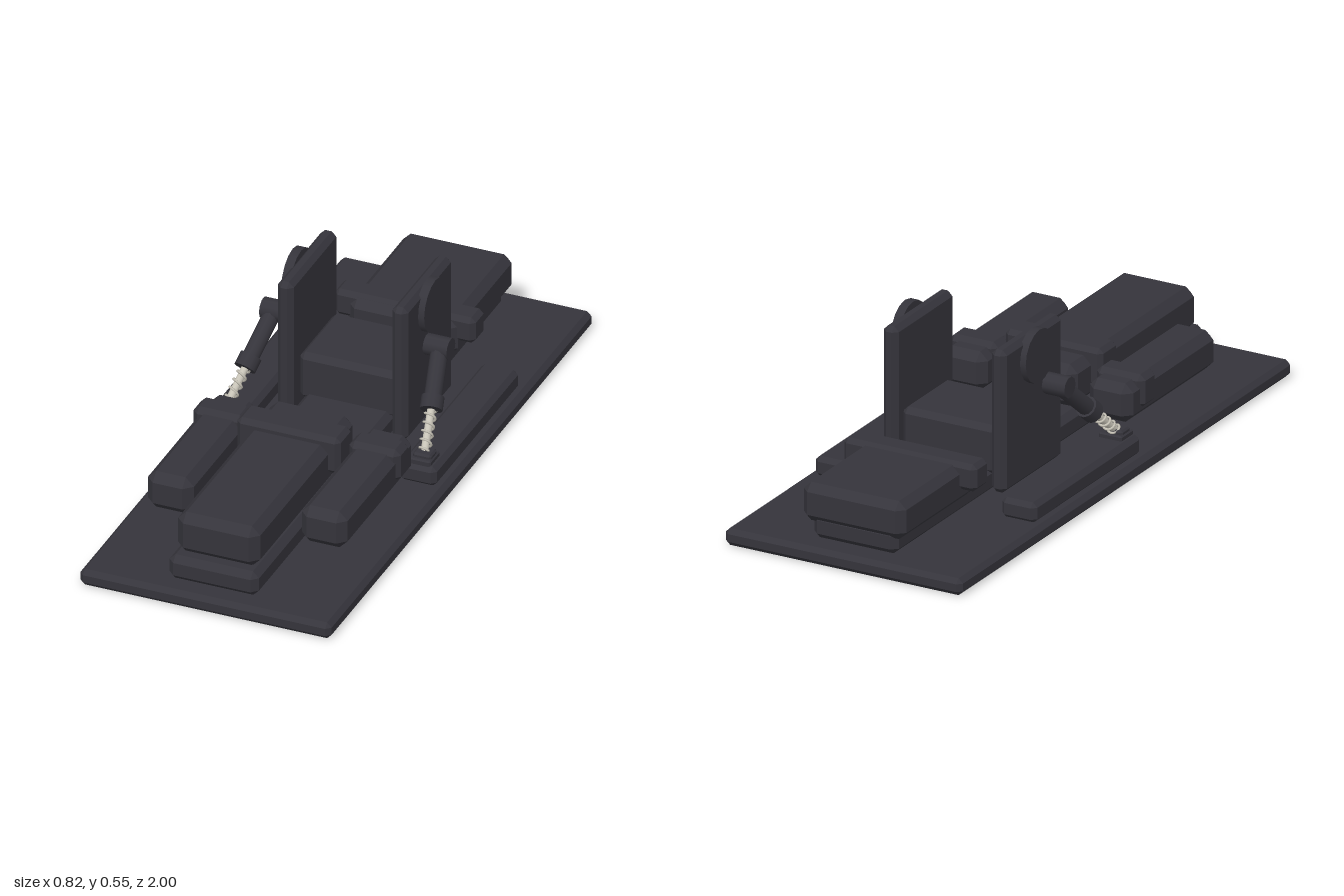
import * as THREE from 'three';
import { ConvexGeometry } from 'three/addons/geometries/ConvexGeometry.js';

const dark = new THREE.MeshStandardMaterial({ color: 0x35343b });
dark.name = 'dark grey';
const steel = new THREE.MeshStandardMaterial({ color: 0xc8c4b8 });
steel.name = 'pale steel';

// Box with chamfered edges, given by its limits on each axis
function chamferBox(name, [x0, x1], [y0, y1], [z0, z1], c) {
  const h = [(x1 - x0) / 2, (y1 - y0) / 2, (z1 - z0) / 2];
  const points = [];
  for (const sx of [-1, 1]) for (const sy of [-1, 1]) for (const sz of [-1, 1]) {
    for (let axis = 0; axis < 3; axis++) {
      const p = h.map((v, i) => (i === axis ? v : v - c));
      points.push(new THREE.Vector3(p[0] * sx, p[1] * sy, p[2] * sz));
    }
  }
  const mesh = new THREE.Mesh(new ConvexGeometry(points), dark);
  mesh.position.set((x0 + x1) / 2, (y0 + y1) / 2, (z0 + z1) / 2);
  mesh.name = name;
  return mesh;
}

// Cylinder running between two points
function rod(name, a, b, r0, r1, sides, material = dark) {
  const dir = b.clone().sub(a);
  const mesh = new THREE.Mesh(new THREE.CylinderGeometry(r1, r0, dir.length(), sides), material);
  mesh.position.copy(a).lerp(b, 0.5);
  mesh.quaternion.setFromUnitVectors(new THREE.Vector3(0, 1, 0), dir.normalize());
  mesh.name = name;
  return mesh;
}

// Coil spring around the line from a to b
function spring(a, b, radius, turns) {
  const dir = b.clone().sub(a);
  const length = dir.length();
  const points = [];
  for (let i = 0; i <= turns * 10; i++) {
    const t = i / (turns * 10), w = t * turns * Math.PI * 2;
    points.push(new THREE.Vector3(Math.cos(w) * radius, t * length, Math.sin(w) * radius));
  }
  const mesh = new THREE.Mesh(
    new THREE.TubeGeometry(new THREE.CatmullRomCurve3(points), turns * 14, 0.004, 5), steel);
  mesh.position.copy(a);
  mesh.quaternion.setFromUnitVectors(new THREE.Vector3(0, 1, 0), dir.normalize());
  mesh.name = 'spring';
  return mesh;
}

// Everything that stands on one side; s is +1 for left, -1 for right
function buildSide(s) {
  const side = new THREE.Group();
  side.name = s > 0 ? 'leftSide' : 'rightSide';
  const v = (x, y, z) => new THREE.Vector3(x * s, y, z);
  const box = (name, x, y, z, c) =>
    side.add(chamferBox(name, s > 0 ? x : [-x[1], -x[0]], y, z, c));

  box('sideRail', [0.262, 0.383], [0.05, 0.117], [-0.505, 0.138], 0.015);
  box('sidePad', [0.176, 0.326], [0.12, 0.245], [0.16, 0.695], 0.027);
  box('sideStrap', [0.17, 0.338], [0.15, 0.26], [0.222, 0.312], 0.018);
  box('uprightPlate', [0.161, 0.213], [0.072, 0.535], [-0.392, -0.038], 0.016);

  // Pivot disc and damper
  side.add(rod('pivotDisc', v(0.205, 0.465, -0.213), v(0.233, 0.465, -0.213), 0.086, 0.086, 16));
  side.add(rod('upperJoint', v(0.228, 0.358, -0.16), v(0.306, 0.358, -0.16), 0.034, 0.034, 10));
  const top = v(0.272, 0.352, -0.155), mid = v(0.304, 0.225, -0.015), low = v(0.325, 0.135, 0.085);
  const collar = top.clone().lerp(mid, 0.78);
  side.add(rod('damperBody', top, mid, 0.027, 0.027, 12));
  side.add(rod('damperCollar', collar, mid, 0.035, 0.035, 12));
  side.add(rod('damperRod', mid, low, 0.012, 0.012, 12, steel));
  side.add(spring(mid, low, 0.017, 5));

  // Lower mount
  box('lowerMount', [0.282, 0.362], [0.1, 0.132], [0.052, 0.126], 0.004);
  box('lowerKnob', [0.298, 0.358], [0.12, 0.145], [0.062, 0.114], 0.006);
  return side;
}

export function createModel() {
  const model = new THREE.Group();
  model.name = 'paddedPlatform';

  // Base and spine
  model.add(chamferBox('basePlate', [-0.41, 0.41], [0, 0.055], [-1, 1], 0.015));
  model.add(chamferBox('spine', [-0.146, 0.146], [0.052, 0.135], [-0.93, 0.942], 0.02));

  // Centre pads and straps
  model.add(chamferBox('frontPad', [-0.134, 0.134], [0.13, 0.268], [0.16, 0.912], 0.027));
  model.add(chamferBox('frontStrap', [-0.169, 0.169], [0.171, 0.295], [0.267, 0.37], 0.015));
  model.add(chamferBox('centreBlock', [-0.165, 0.165], [0.11, 0.27], [-0.362, -0.09], 0.018));
  model.add(chamferBox('rearPad', [-0.177, 0.177], [0.108, 0.232], [-0.945, -0.49], 0.025));
  model.add(chamferBox('rearStrap', [-0.23, 0.23], [0.155, 0.243], [-0.6, -0.512], 0.015));

  for (const s of [1, -1]) model.add(buildSide(s));
  return model;
}
